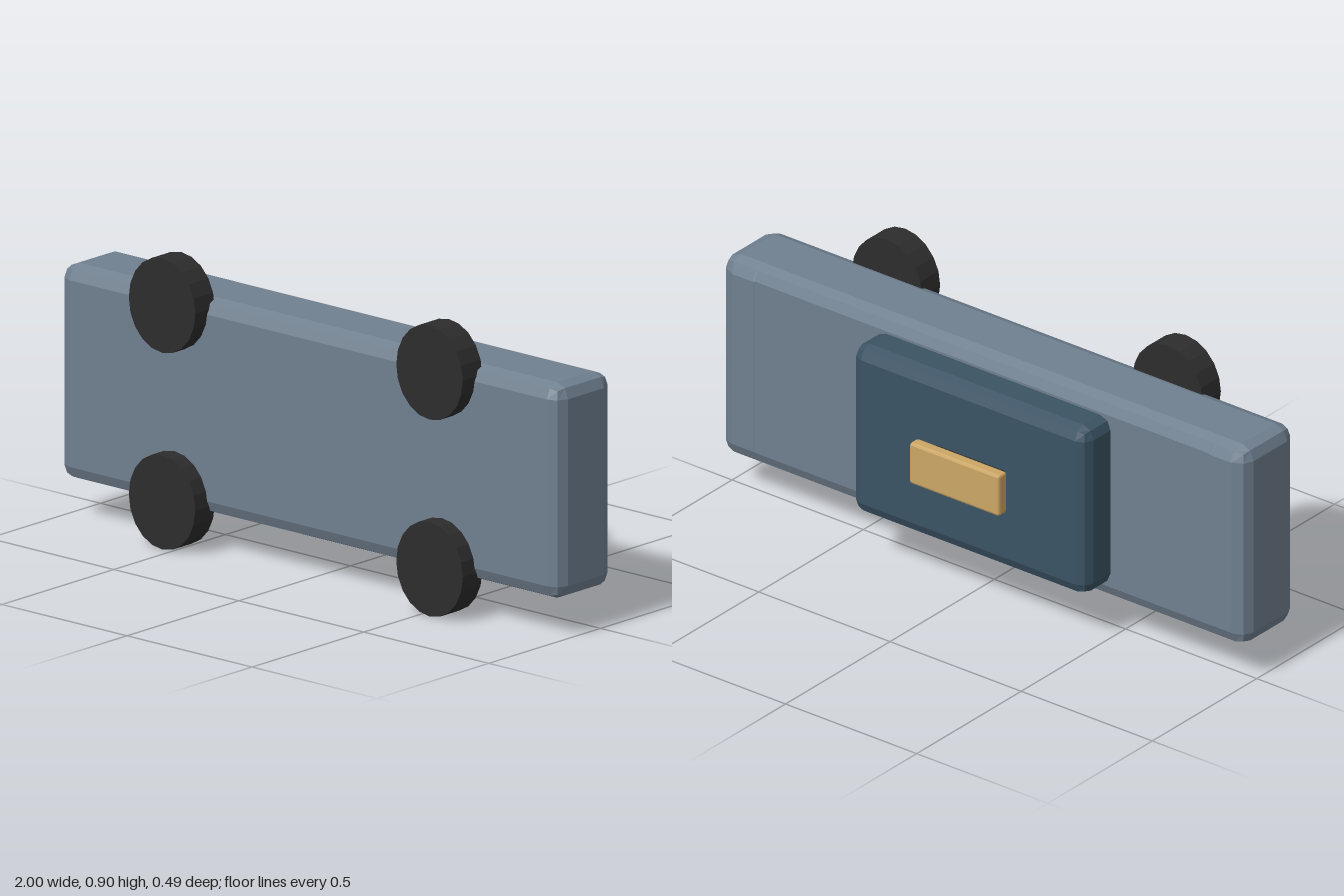
import * as THREE from 'three';
import { RoundedBoxGeometry } from 'three/addons/geometries/RoundedBoxGeometry.js';

function material(name, color) {
  const m = new THREE.MeshStandardMaterial({ color });
  m.name = name;
  return m;
}

// Flat facets for a crisp bevelled look
function flat(geometry) {
  const g = geometry.index ? geometry.toNonIndexed() : geometry;
  g.computeVertexNormals();
  return g;
}

// Bevelled box given by its extents on each axis
function block(name, [x0, x1], [y0, y1], [z0, z1], bevel, mat) {
  const geo = flat(new RoundedBoxGeometry(x1 - x0, y1 - y0, z1 - z0, 1, bevel));
  const mesh = new THREE.Mesh(geo, mat);
  mesh.position.set((x0 + x1) / 2, (y0 + y1) / 2, (z0 + z1) / 2);
  mesh.name = name;
  return mesh;
}

export function createModel() {
  const group = new THREE.Group();
  group.name = 'vehicle';

  const paint = material('slate paint', 0x708090);
  const glass = material('dark blue cabin', 0x3b5364);
  const rubber = material('black rubber', 0x2d2d2d);
  const brass = material('brass', 0xcca766);

  // Chassis with shallow end panels on the roof side
  group.add(block('body', [-1, 1], [0.118, 0.788], [-0.06, 0.19], 0.045, paint));
  group.add(block('leftEndPanel', [0.83, 0.99], [0.125, 0.781], [-0.062, 0.04], 0.04, paint));
  group.add(block('rightEndPanel', [-0.99, -0.83], [0.125, 0.781], [-0.062, 0.04], 0.04, paint));

  // Cabin and roof sign
  group.add(block('cabin', [-0.49, 0.405], [0.17, 0.735], [-0.18, -0.01], 0.04, glass));
  group.add(block('signBase', [-0.2, 0.075], [0.388, 0.517], [-0.215, -0.19], 0.011, rubber));
  group.add(block('roofSign', [-0.212, 0.13], [0.385, 0.523], [-0.245, -0.205], 0.008, brass));

  // Four wheels, slightly taller than wide
  const wheelGeo = new THREE.CylinderGeometry(1, 1, 0.087, 20);
  wheelGeo.rotateX(Math.PI / 2);
  wheelGeo.scale(0.133, 0.147, 1);
  const wheel = flat(wheelGeo);
  for (const x of [-0.535, 0.535]) {
    for (const y of [0.147, 0.758]) {
      const mesh = new THREE.Mesh(wheel, rubber);
      mesh.position.set(x, y, 0.2015);
      mesh.name = 'wheel';
      group.add(mesh);
    }
  }
  return group;
}
